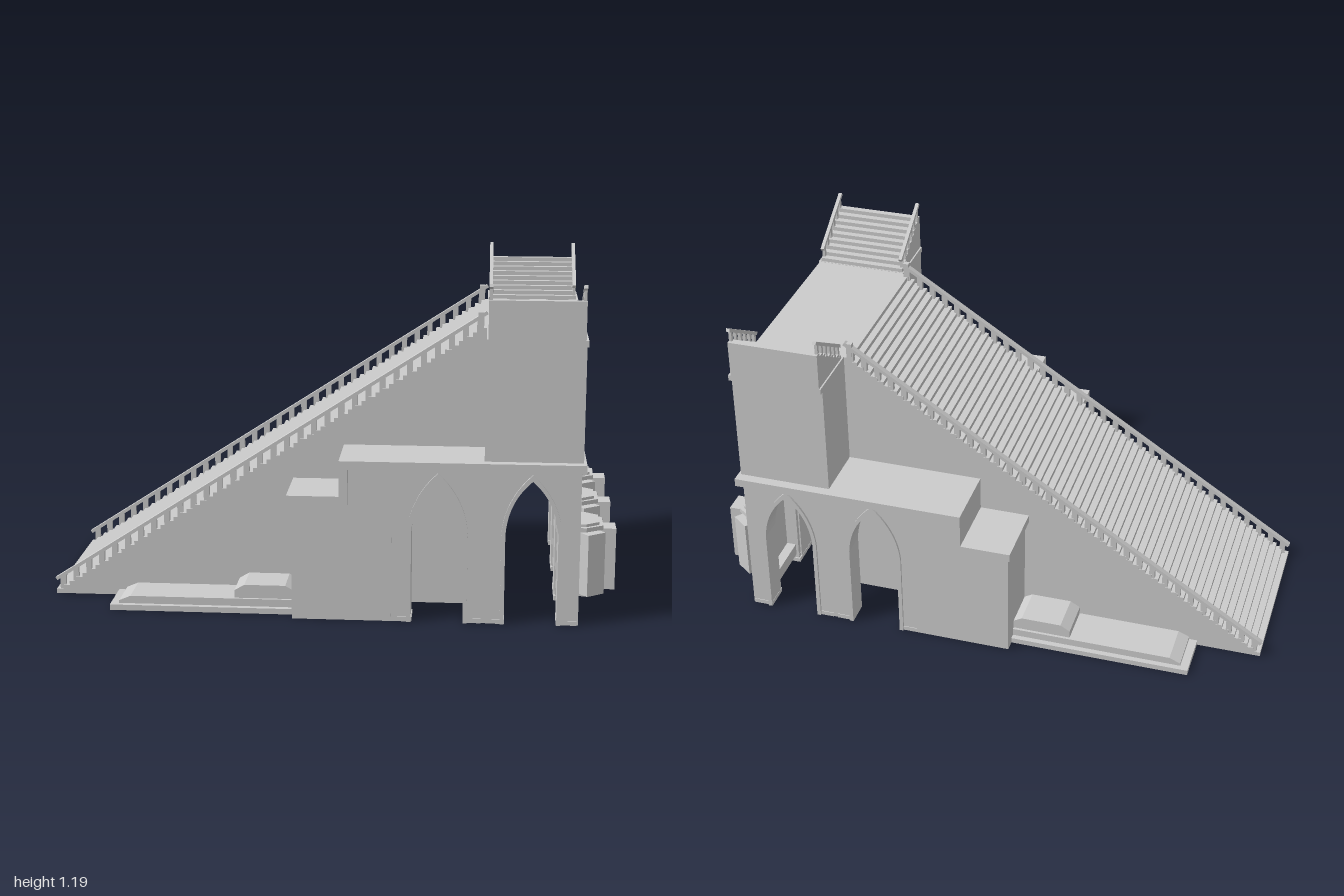
import * as THREE from 'three';

const material = new THREE.MeshStandardMaterial({ color: 0xcccccc, side: THREE.DoubleSide });

function add(parent, name, geometry) {
  const mesh = new THREE.Mesh(geometry, material);
  mesh.name = name;
  parent.add(mesh);
  return mesh;
}

// Box given by its limits on each axis
function box(parent, name, [x0, x1], [y0, y1], [z0, z1]) {
  const mesh = add(parent, name, new THREE.BoxGeometry(x1 - x0, y1 - y0, z1 - z0));
  mesh.position.set((x0 + x1) / 2, (y0 + y1) / 2, (z0 + z1) / 2);
  return mesh;
}

// Outline extruded along z, centred on z = 0
function prism(shape, depth) {
  const geometry = new THREE.ExtrudeGeometry(shape, { depth, bevelEnabled: false, curveSegments: 10 });
  return geometry.translate(0, 0, -depth / 2);
}

const polygon = (points) => new THREE.Shape(points.map(([x, y]) => new THREE.Vector2(x, y)));

// Plan outline (x, z) extruded upward from y0 to y1
function slab(points, y0, y1) {
  return prism(polygon(points), y1 - y0).rotateX(Math.PI / 2).translate(0, (y0 + y1) / 2, 0);
}

// Pointed arch drawn as part of a path, from left foot to right foot
function archPath(path, c, w, spring, apex) {
  const bend = spring + (apex - spring) * 0.62;
  path.lineTo(c - w, 0);
  path.lineTo(c - w, spring);
  path.quadraticCurveTo(c - w * 0.92, bend, c, apex);
  path.quadraticCurveTo(c + w * 0.92, bend, c + w, spring);
  path.lineTo(c + w, 0);
}

function archWall(x0, x1, centers, w, depth, apex = 0.51) {
  const shape = new THREE.Shape();
  shape.moveTo(x0, 0);
  for (const c of centers) archPath(shape, c, w, 0.32, apex);
  shape.lineTo(x1, 0);
  shape.lineTo(x1, 0.55);
  shape.lineTo(x0, 0.55);
  return prism(shape, depth);
}

// Thin moulding that follows an arch
function archBand(c, w, depth) {
  const shape = new THREE.Shape();
  shape.moveTo(c - w - 0.014, 0);
  archPath(shape, c, w, 0.32, 0.51);
  shape.lineTo(c + w + 0.014, 0);
  shape.lineTo(c + w + 0.014, 0.32);
  shape.quadraticCurveTo(c + w + 0.006, 0.445, c, 0.532);
  shape.quadraticCurveTo(c - w - 0.006, 0.445, c - w - 0.014, 0.32);
  return prism(shape, depth);
}

// Flight of steps climbing along +x, with a railing on both sides
function staircase({ name, run, rise, steps, width, balusters, railHeight, post }) {
  const group = new THREE.Group();
  group.name = name;
  const points = [[0, 0]];
  for (let i = 0; i < steps; i++) {
    points.push([(i * run) / steps, ((i + 1) * rise) / steps]);
    points.push([((i + 1) * run) / steps, ((i + 1) * rise) / steps]);
  }
  points.push([run, 0]);
  add(group, 'steps', prism(polygon(points), width));
  const slope = rise / run;
  for (const side of [-1, 1]) {
    const z = side * (width / 2 - post / 2);
    for (let i = 0; i < balusters; i++) {
      const x = ((i + 0.5) * run) / balusters;
      box(group, 'baluster', [x - post / 2, x + post / 2], [x * slope, x * slope + railHeight],
        [z - post * 0.4, z + post * 0.4]);
    }
    const rail = add(group, 'handrail', new THREE.BoxGeometry(Math.hypot(run, rise), 0.012, post));
    rail.position.set(run / 2, rise / 2 + railHeight, z);
    rail.rotation.z = Math.atan2(rise, run);
  }
  return group;
}

// Half-octagon bay with three projecting window boxes, facing +x
function bayWindow(z) {
  const bay = new THREE.Group();
  bay.name = 'bayWindow';
  const plan = (g) => [[0.85, -0.08 - g], [0.895, -0.08 - g], [0.94 + g, -0.047 - g / 2],
    [0.94 + g, 0.047 + g / 2], [0.895, 0.08 + g], [0.85, 0.08 + g]];
  add(bay, 'bayBody', slab(plan(0), 0.08, 0.335));
  add(bay, 'bayCornice', slab(plan(0.014), 0.31, 0.325));
  add(bay, 'bayBase', slab(plan(0.01), 0.078, 0.09));
  box(bay, 'frontWindow', [0.92, 1.0], [0.09, 0.31], [-0.04, 0.04]);
  for (const side of [-1, 1]) {
    const window = add(bay, 'sideWindow', new THREE.BoxGeometry(0.07, 0.22, 0.075));
    window.position.set(0.909, 0.2, side * 0.0845);
    window.rotation.y = -side * Math.atan2(0.8, 0.6);
  }
  bay.position.z = z;
  return bay;
}

export function createModel() {
  const model = new THREE.Group();
  model.name = 'stairBuilding';

  // Great stair
  const mainStair = staircase({ name: 'mainStair', run: 1.54, rise: 0.997, steps: 64, width: 0.63,
    balusters: 32, railHeight: 0.053, post: 0.02 });
  mainStair.position.x = -1;
  model.add(mainStair);
  for (const z of [-0.305, 0.305]) box(model, 'newelPost', [0.51, 0.53], [0.98, 1.052], [z - 0.01, z + 0.01]);

  // Upper block and the small stairs on its two ends
  box(model, 'upperBlock', [0.54, 0.875], [0.56, 0.997], [-0.525, 0.525]);
  for (const side of [-1, 1]) {
    box(model, 'stairBase', [0.54, 0.88], [0.977, 0.998], side > 0 ? [0.32, 0.54] : [-0.54, -0.32]);
    const stair = staircase({ name: 'endStair', run: 0.215, rise: 0.133, steps: 9, width: 0.325,
      balusters: 6, railHeight: 0.05, post: 0.013 });
    stair.rotation.y = -side * Math.PI / 2;
    stair.position.set(0.708, 0.997, side * 0.325);
    model.add(stair);
  }

  // Solid lower rooms and their stepped cornice slab
  box(model, 'lowRoom', [-0.12, 0.065], [0, 0.43], [-0.53, 0.53]);
  box(model, 'rearRoom', [0.065, 0.225], [0, 0.55], [-0.53, 0.53]);
  add(model, 'steppedCornice', prism(polygon([[-0.135, 0.42], [0.075, 0.42], [0.075, 0.545],
    [0.885, 0.545], [0.885, 0.575], [0.045, 0.575], [0.045, 0.45], [-0.135, 0.45]]), 1.12));

  // Arcades running along x, two arches each
  const xCenters = [0.383, 0.705], zCenters = [-0.35, 0, 0.35];
  for (const [z, depth] of [[-0.49, 0.075], [-0.175, 0.1], [0.175, 0.1], [0.49, 0.075]]) {
    add(model, 'longArcade', archWall(0.22, 0.868, xCenters, 0.094, depth)).position.z = z;
    for (const c of xCenters) add(model, 'archMoulding', archBand(c, 0.09, depth + 0.016)).position.z = z;
  }

  // Arcades running along z, three arches each
  for (const [x, depth] of [[0.545, 0.1], [0.835, 0.07]]) {
    const wall = add(model, 'crossArcade', archWall(-0.525, 0.525, zCenters, 0.1, depth, 0.5));
    wall.rotation.y = -Math.PI / 2;
    wall.position.x = x;
  }

  // Plinths under every pillar
  for (const [x0, x1] of [[0.222, 0.296], [0.477, 0.536], [0.552, 0.616], [0.794, 0.866]]) {
    for (const [z0, z1] of [[-0.53, -0.44], [-0.255, -0.18], [-0.17, -0.095],
      [0.095, 0.17], [0.18, 0.255], [0.44, 0.53]]) {
      box(model, 'plinth', [x0, x1], [0, 0.016], [z0, z1]);
      box(model, 'plinthStep', [x0 + 0.005, x1 - 0.005], [0.016, 0.03], [z0 + 0.006, z1 - 0.006]);
    }
  }

  // Sills, infill panels and bay windows on the end wall
  for (const z of zCenters) {
    box(model, 'sill', [0.81, 0.872], [0.03, 0.077], [z - 0.103, z + 0.103]);
    box(model, 'archPanel', [0.845, 0.862], [0.05, 0.52], [z - 0.105, z + 0.105]);
    model.add(bayWindow(z));
  }

  // Low terraces on both sides of the great stair
  box(model, 'terraceBase', [-0.77, -0.1], [0, 0.02], [-0.49, 0.49]);
  add(model, 'terrace', prism(polygon([[-0.74, 0.02], [-0.74, 0.03], [-0.7, 0.047], [-0.1, 0.047],
    [-0.1, 0.02]]), 0.94));
  add(model, 'terraceBlock', prism(polygon([[-0.33, 0.047], [-0.33, 0.075], [-0.295, 0.095], [-0.15, 0.095],
    [-0.115, 0.075], [-0.115, 0.047]]), 0.92));

  return model;
}
